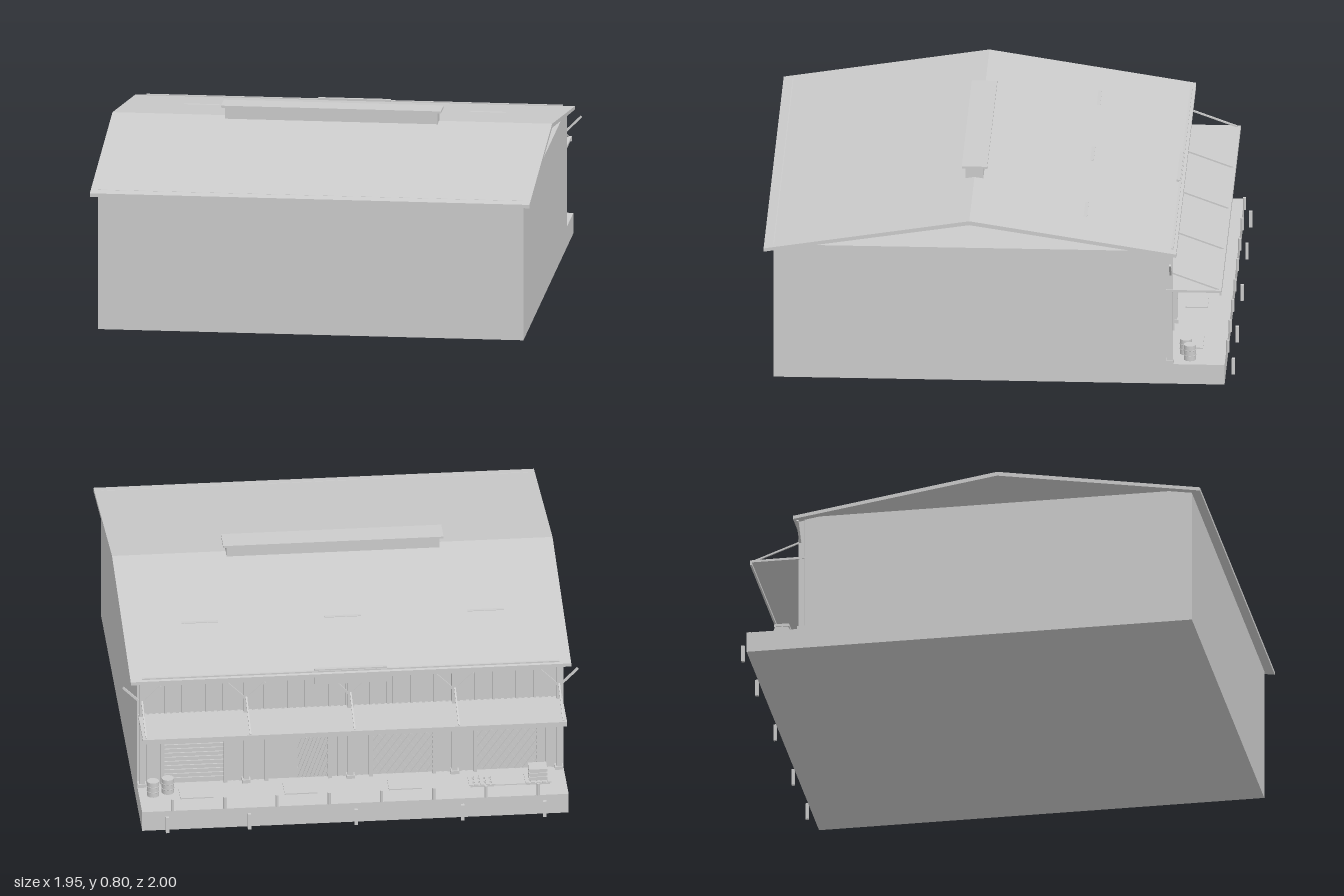
import * as THREE from 'three';

const mat = new THREE.MeshStandardMaterial({ color: 0xcccccc, flatShading: true });
const smooth = new THREE.MeshStandardMaterial({ color: 0xcccccc });

export function createModel() {
  const root = new THREE.Group();
  root.name = 'warehouse';

  const add = (name, geo, x = 0, y = 0, z = 0, m = mat) => {
    const mesh = new THREE.Mesh(geo, m);
    mesh.name = name;
    mesh.position.set(x, y, z);
    root.add(mesh);
    return mesh;
  };
  // Box given by its extents
  const box = (name, x0, x1, y0, y1, z0, z1) =>
    add(name, new THREE.BoxGeometry(x1 - x0, y1 - y0, z1 - z0), (x0 + x1) / 2, (y0 + y1) / 2, (z0 + z1) / 2);
  // Square bar between two points
  const bar = (name, a, b, t) => {
    const p = new THREE.Vector3(...a), q = new THREE.Vector3(...b);
    const d = q.clone().sub(p);
    const mesh = add(name, new THREE.BoxGeometry(t, d.length(), t));
    mesh.position.copy(p).add(q).multiplyScalar(0.5);
    mesh.quaternion.setFromUnitVectors(new THREE.Vector3(0, 1, 0), d.normalize());
    return mesh;
  };

  // Main hall and loading dock
  box('hall', -0.91, 0.91, 0, 0.61, -0.71, 0.96);
  box('loadingDock', -0.91, 0.91, 0, 0.09, -0.96, -0.71);

  // Gable roof, open under the ridge at both ends
  const profile = new THREE.Shape([
    [1, 0.588], [1, 0.603], [0.125, 0.745], [-0.755, 0.608], [-0.755, 0.593], [0.125, 0.727],
  ].map(([z, y]) => new THREE.Vector2(z, y)));
  const roof = new THREE.ExtrudeGeometry(profile, { depth: 1.88, bevelEnabled: false });
  roof.translate(0, 0, -0.94).rotateY(-Math.PI / 2);
  add('roof', roof);

  // Ridge ventilator
  box('ridgeVent', -0.455, 0.455, 0.735, 0.792, 0.087, 0.163);
  box('ridgeVentCap', -0.47, 0.47, 0.79, 0.799, 0.07, 0.178);

  // Level skylights that just break through the rear slope
  for (const x of [-0.61, 0, 0.61]) box('skylight', x - 0.078, x + 0.078, 0.661, 0.671, -0.365, -0.215);

  // Gutter and sign board at the rear eave
  box('gutter', -0.89, 0.89, 0.59, 0.616, -0.742, -0.732);
  box('signBoard', -0.155, 0.155, 0.55, 0.622, -0.738, -0.722);

  // Columns with knee braces, and canopy tie rods
  const columns = [-0.89, -0.445, 0, 0.445, 0.89];
  for (const x of columns) {
    box('column', x - 0.012, x + 0.012, 0.09, 0.6, -0.737, -0.713);
    box('columnBase', x - 0.018, x + 0.018, 0.09, 0.105, -0.743, -0.71);
    for (const s of [-1, 1]) bar('kneeBrace', [x + s * 0.005, 0.495, -0.73], [x + s * 0.08, 0.57, -0.73], 0.009);
    bar('tieRod', [x, 0.507, -0.725], [x, 0.43, -0.935], 0.007);
  }

  // Canopy over the dock
  box('canopy', -0.905, 0.905, 0.42, 0.43, -0.942, -0.71);
  box('canopyLip', -0.905, 0.905, 0.408, 0.43, -0.946, -0.938);

  // Corrugated cladding above the canopy and a beam under the eave
  box('eaveBeam', -0.9, 0.9, 0.57, 0.592, -0.728, -0.71);
  for (let i = 0; i < 72; i++) {
    const x = -0.8875 + i * 0.025;
    box('claddingRib', x - 0.006, x + 0.006, 0.43, 0.572, -0.717, -0.709);
  }

  // Loading doors between the columns
  const bays = [-0.6675, -0.2225, 0.2225, 0.6675];
  bays.forEach((x, n) => {
    const w = 0.135, top = 0.35;
    for (const s of [-1, 1]) box('doorJamb', x + s * w - 0.008, x + s * w + 0.008, 0.09, top, -0.73, -0.708);
    box('doorHeader', x - w - 0.008, x + w + 0.008, top, top + 0.018, -0.732, -0.708);
    // Roller shutter slats: low on one bay, rolled up on the others
    const low = n === 3 ? 0.1 : 0.29;
    for (let y = low; y < top - 0.01; y += 0.02) box('shutterSlat', x - w, x + w, y, y + 0.016, -0.716, -0.708);
    // Folding lattice gate, half drawn on one bay
    const gateW = n === 2 ? w : 2 * w, x0 = x - w, y0 = 0.1, h = n === 3 ? 0 : 0.19;
    if (h) {
      const steps = 8, dx = gateW / steps;
      for (let i = -3; i < steps; i++) {
        const a = Math.max(i, 0), b = Math.min(i + 4, steps);
        const ya = y0 + h * (a - i) / 4, yb = y0 + h * (b - i) / 4;
        bar('gateLattice', [x0 + a * dx, ya, -0.722], [x0 + b * dx, yb, -0.722], 0.005);
        bar('gateLattice', [x0 + gateW - a * dx, ya, -0.727], [x0 + gateW - b * dx, yb, -0.727], 0.005);
      }
    }
    // Dock plate and wall lamp
    box('dockPlate', x - 0.07, x + 0.07, 0.09, 0.095, -0.86, -0.765);
    box('lampArm', x - 0.005, x + 0.005, 0.388, 0.394, -0.75, -0.71);
    add('lampShade', new THREE.CylinderGeometry(0.006, 0.016, 0.014, 10), x, 0.385, -0.752, smooth);
  });

  // Wall cladding ribs beside the doors
  for (const c of columns) {
    for (let i = -2; i <= 2; i++) {
      const x = c + i * 0.025;
      if (i && Math.abs(x) < 0.9) box('wallRib', x - 0.005, x + 0.005, 0.09, 0.42, -0.715, -0.708);
    }
  }

  // Posts along the dock edge and bumpers in front of it
  for (let i = 0; i < 8; i++) {
    add('dockPost', new THREE.CylinderGeometry(0.007, 0.007, 0.055, 8), -0.78 + i * 0.223, 0.123, -0.968, smooth);
  }
  for (const x of [-0.805, -0.455, 0, 0.455, 0.805]) box('dockBumper', x - 0.007, x + 0.007, 0.005, 0.078, -1, -0.986);

  // Barrels at the left end of the dock
  for (const [x, z] of [[0.85, -0.81], [0.785, -0.79]]) {
    add('barrel', new THREE.CylinderGeometry(0.026, 0.026, 0.068, 16), x, 0.124, z, smooth);
    for (const y of [0.112, 0.136]) {
      const hoop = add('barrelHoop', new THREE.TorusGeometry(0.026, 0.002, 6, 16), x, y, z, smooth);
      hoop.rotation.x = Math.PI / 2;
    }
  }

  // Pallets at the right end, one loaded with a crate
  for (const x of [-0.79, -0.55]) {
    for (const z of [-0.86, -0.825, -0.79]) box('palletRunner', x - 0.05, x + 0.05, 0.09, 0.098, z - 0.005, z + 0.005);
    for (let i = 0; i < 5; i++) {
      const px = x - 0.048 + i * 0.024;
      box('palletBoard', px - 0.008, px + 0.008, 0.098, 0.103, -0.867, -0.783);
    }
  }
  box('crate', -0.825, -0.755, 0.103, 0.155, -0.852, -0.795);
  for (const y of [0.108, 0.127, 0.146]) box('crateSlat', -0.829, -0.751, y, y + 0.012, -0.856, -0.791);

  return root;
}
